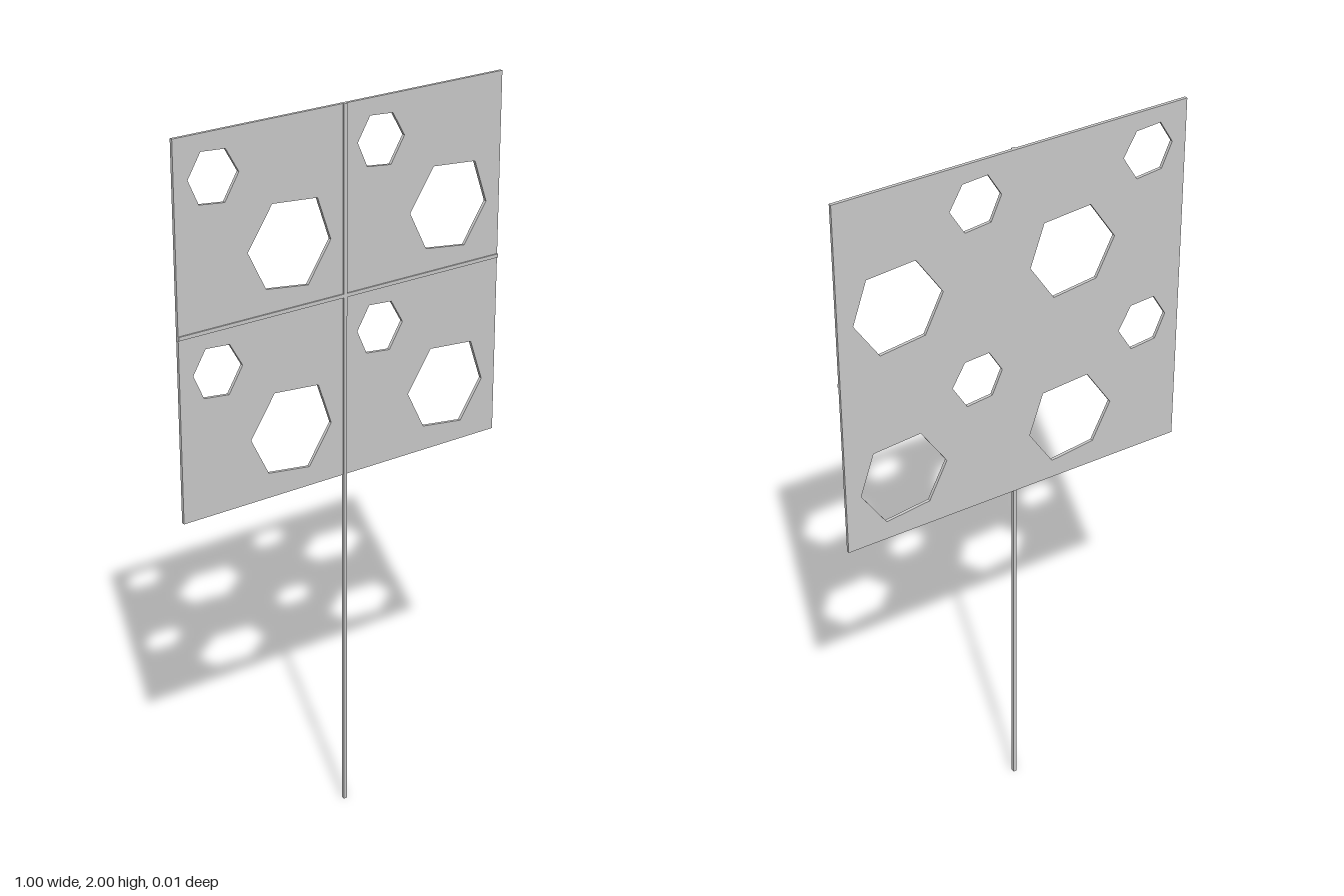
import * as THREE from 'three';

const material = new THREE.MeshStandardMaterial({ color: 0xcccccc, flatShading: true });

// Slightly irregular hexagon outlines, relative to their centres
const SMALL_HOLE = [[-0.073, 0.005], [-0.035, 0.068], [0.036, 0.063], [0.073, -0.001], [0.031, -0.07], [-0.043, -0.062]];
const BIG_HOLE = [[-0.125, 0.005], [-0.051, 0.116], [0.085, 0.105], [0.125, -0.011], [0.055, -0.117], [-0.072, -0.101]];

function hexPath(points, cx, cy) {
  return new THREE.Path(points.map(([x, y]) => new THREE.Vector2(cx + x, cy + y)));
}

function addBar(group, name, w, h, d, x, y, z) {
  const bar = new THREE.Mesh(new THREE.BoxGeometry(w, h, d), material);
  bar.name = name;
  bar.position.set(x, y, z);
  group.add(bar);
}

export function createModel() {
  const group = new THREE.Group();
  group.name = 'perforatedSign';

  // Square panel, the same pair of holes repeated in each quarter
  const shape = new THREE.Shape([[-0.5, 1], [0.5, 1], [0.5, 2], [-0.5, 2]].map(p => new THREE.Vector2(...p)));
  for (const cx of [-0.25, 0.25]) {
    for (const cy of [1.25, 1.75]) {
      shape.holes.push(hexPath(SMALL_HOLE, cx - 0.137, cy + 0.137));
      shape.holes.push(hexPath(BIG_HOLE, cx + 0.082, cy - 0.08));
    }
  }
  const panelGeometry = new THREE.ExtrudeGeometry(shape, { depth: 0.009, bevelEnabled: false });
  panelGeometry.translate(0, 0, -0.0065);
  const panel = new THREE.Mesh(panelGeometry, material);
  panel.name = 'panel';
  group.add(panel);

  // Thin post running up the panel front, and the crossbar
  addBar(group, 'post', 0.01, 2, 0.01, 0, 1, 0.0015);
  addBar(group, 'crossbar', 1, 0.01, 0.01, 0, 1.5, 0.0015);

  return group;
}
